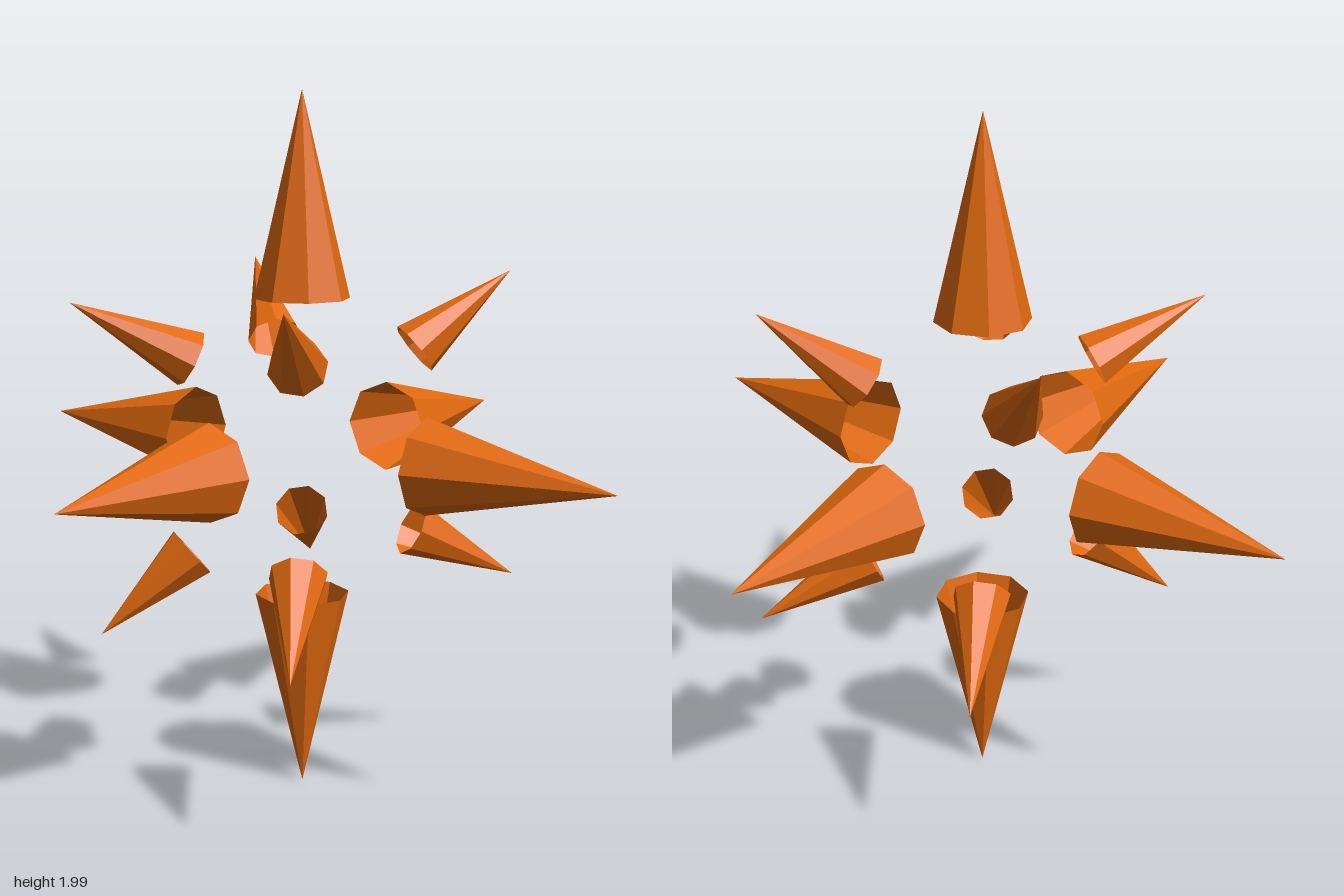
import * as THREE from 'three';

export function createModel() {
  const model = new THREE.Group();
  const orange = new THREE.MeshStandardMaterial({ color: 0xe0690f, side: THREE.DoubleSide, flatShading: true });
  orange.name = 'orange';
  const up = new THREE.Vector3(0, 1, 0);

  // Hollow eight-sided spike, open at the end that faces the middle
  function addSpike(name, base, tip, radius) {
    const from = new THREE.Vector3(...base);
    const axis = new THREE.Vector3(...tip).sub(from);
    const length = axis.length();
    const geometry = new THREE.ConeGeometry(radius, length, 8, 1, true);
    geometry.translate(0, length / 2, 0);
    const mesh = new THREE.Mesh(geometry, orange);
    mesh.name = name;
    mesh.position.copy(from);
    mesh.quaternion.setFromUnitVectors(up, axis.normalize());
    model.add(mesh);
  }

  // Six large spikes along the main axes
  for (const s of [1, -1]) {
    addSpike(s > 0 ? 'topSpike' : 'bottomSpike', [0.01, 1.005 + s * 0.425, -0.02], [0.01, 1.003 + s * 0.997, -0.02], 0.135);
    addSpike(s > 0 ? 'leftSpike' : 'rightSpike', [s * 0.41, 1.008, -0.007], [s * 0.98, 1.008, -0.007], 0.135);
    addSpike(s > 0 ? 'frontSpike' : 'backSpike', [0, 1.008, s * 0.405], [0, 1.008, s * 0.972], 0.135);
  }

  // Eight small, slightly uneven spikes towards the corners: base, then tip
  const corners = {
    upperLeftBackSpike: [[0.2, 1.277, -0.265], [0.375, 1.495, -0.48]],
    upperLeftFrontSpike: [[0.262, 1.278, 0.19], [0.48, 1.495, 0.37]],
    lowerLeftFrontSpike: [[0.268, 0.75, 0.182], [0.52, 0.59, 0.377]],
    lowerLeftBackSpike: [[0.25, 0.75, -0.205], [0.5, 0.55, -0.36]],
    upperRightFrontSpike: [[-0.275, 1.288, 0.182], [-0.525, 1.465, 0.33]],
    upperRightBackSpike: [[-0.257, 1.275, -0.2], [-0.514, 1.44, -0.403]],
    lowerRightFrontSpike: [[-0.28, 0.732, 0.187], [-0.505, 0.52, 0.333]],
    lowerRightBackSpike: [[-0.262, 0.73, -0.202], [-0.468, 0.51, -0.36]],
  };
  for (const [name, [base, tip]] of Object.entries(corners)) addSpike(name, base, tip, 0.081);

  return model;
}
